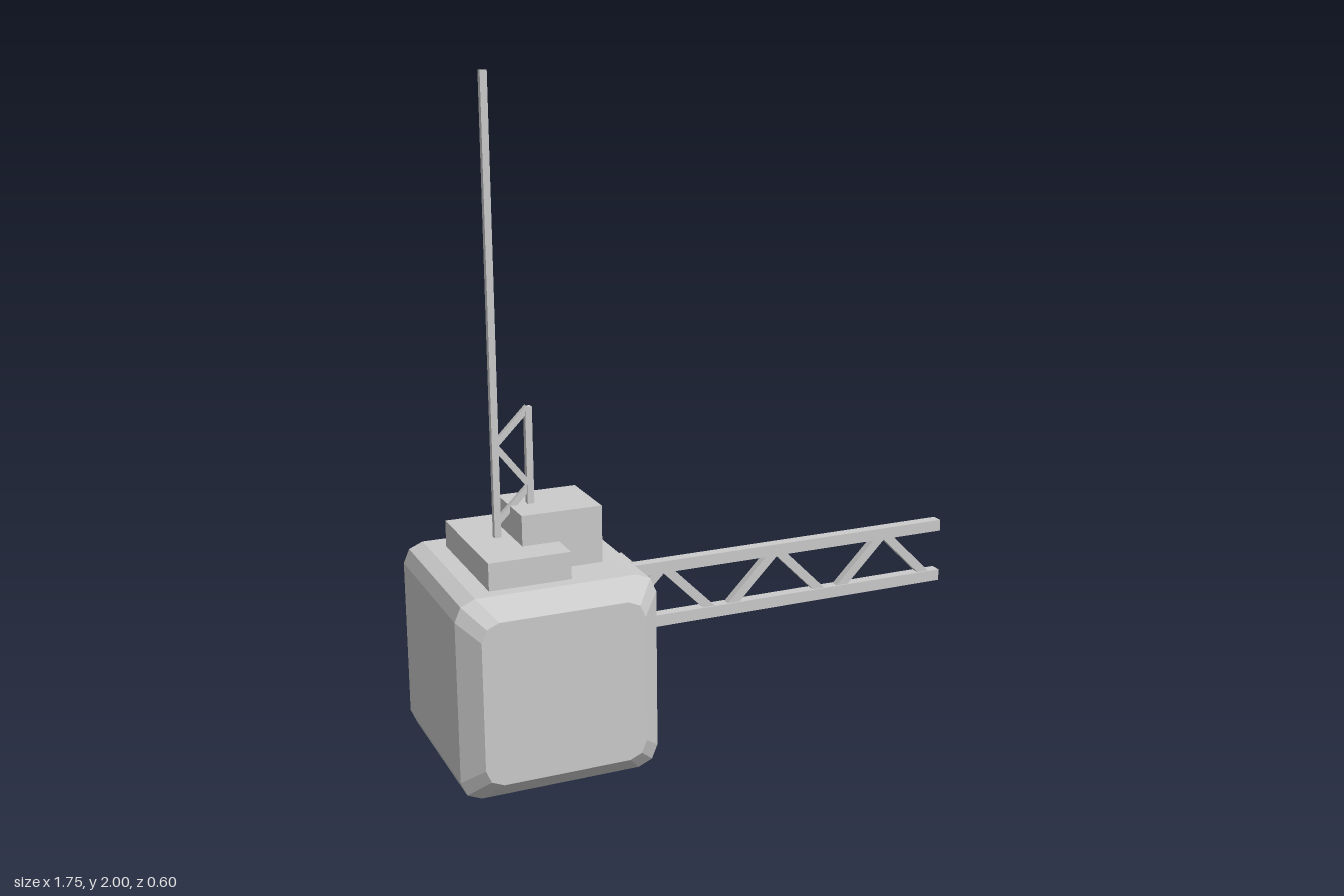
import * as THREE from 'three';

const material = new THREE.MeshStandardMaterial({ color: 0xcccccc, flatShading: true });

function addMesh(parent, name, geometry) {
  const mesh = new THREE.Mesh(geometry, material);
  mesh.name = name;
  parent.add(mesh);
  return mesh;
}

// Box given by its minimum and maximum corners
function addBox(parent, name, [x0, y0, z0], [x1, y1, z1]) {
  const mesh = addMesh(parent, name, new THREE.BoxGeometry(x1 - x0, y1 - y0, z1 - z0));
  mesh.position.set((x0 + x1) / 2, (y0 + y1) / 2, (z0 + z1) / 2);
}

// Square bar running between two points of a plane of constant z
function addBar(parent, name, [x0, y0], [x1, y1], z, width, depth) {
  const length = Math.hypot(x1 - x0, y1 - y0);
  const mesh = addMesh(parent, name, new THREE.BoxGeometry(length, width, depth));
  mesh.position.set((x0 + x1) / 2, (y0 + y1) / 2, z);
  mesh.rotation.z = Math.atan2(y1 - y0, x1 - x0);
}

// Square outline with two-facet corners, counter-clockwise
function squareLoop(half, corner, z) {
  const m = half - corner * 0.3;
  const e = half - corner;
  const points = [];
  for (let k = 0; k < 4; k++) {
    const c = Math.round(Math.cos(k * Math.PI / 2));
    const s = Math.round(Math.sin(k * Math.PI / 2));
    for (const [x, y] of [[half, e], [m, m], [e, half]]) {
      points.push([c * x - s * y, s * x + c * y, z]);
    }
  }
  return points;
}

// Closed skin through a series of loops from front to back
function skinGeometry(loops) {
  const positions = [];
  const tri = (...corners) => corners.forEach((p) => positions.push(...p));
  const n = loops[0].length;
  for (let l = 0; l < loops.length - 1; l++) {
    const a = loops[l];
    const b = loops[l + 1];
    for (let i = 0; i < n; i++) {
      const j = (i + 1) % n;
      tri(a[i], b[i], b[j]);
      tri(a[i], b[j], a[j]);
    }
  }
  const first = loops[0];
  const last = loops[loops.length - 1];
  for (let i = 1; i < n - 1; i++) {
    tri(first[0], first[i], first[i + 1]);
    tri(last[0], last[i + 1], last[i]);
  }
  const geometry = new THREE.BufferGeometry();
  geometry.setAttribute('position', new THREE.Float32BufferAttribute(positions, 3));
  geometry.computeVertexNormals();
  return geometry;
}

export function createModel() {
  const model = new THREE.Group();
  model.name = 'moduleWithMasts';

  // Cabin: bevelled front, straight sides, recessed back
  const cabin = addMesh(model, 'cabin', skinGeometry([
    squareLoop(0.241, 0.052, 0.298),
    squareLoop(0.298, 0.06, 0.24),
    squareLoop(0.298, 0.06, -0.298),
    squareLoop(0.25, 0.052, -0.298),
    squareLoop(0.25, 0.052, -0.218),
  ]));
  cabin.position.set(-0.577, 0.298, 0);

  // Stepped blocks on the roof
  addBox(model, 'lowRoofBlock', [-0.763, 0.594, -0.223], [-0.52, 0.677, 0.2]);
  addBox(model, 'highRoofBlock', [-0.63, 0.594, -0.125], [-0.388, 0.767, 0.099]);

  // Antenna: tall pole, short pole and zigzag bracing
  const antenna = new THREE.Group();
  antenna.name = 'antenna';
  model.add(antenna);
  const az = -0.0135;
  addBox(antenna, 'tallPole', [-0.679, 0.67, az - 0.01], [-0.659, 2, az + 0.01]);
  addBox(antenna, 'shortPole', [-0.577, 0.76, az - 0.01], [-0.557, 1.055, az + 0.01]);
  const zigzag = [[-0.669, 0.72], [-0.567, 0.82], [-0.669, 0.95], [-0.567, 1.053]];
  for (let i = 0; i < 3; i++) {
    addBar(antenna, 'antennaBrace', zigzag[i], zigzag[i + 1], az, 0.018, 0.015);
  }

  // Side truss: mounting plate, two rails and diagonal braces
  const truss = new THREE.Group();
  truss.name = 'sideTruss';
  model.add(truss);
  const tz = -0.095;
  addBox(truss, 'mountingPlate', [-0.285, 0.073, tz - 0.045], [-0.235, 0.527, tz + 0.045]);
  for (const y of [0.31, 0.483]) {
    addBox(truss, 'rail', [-0.24, y - 0.0185, tz - 0.0185], [0.874, y + 0.0185, tz + 0.0185]);
  }
  addBar(truss, 'trussBrace', [-0.25, 0.35], [-0.122, 0.478], tz, 0.029, 0.026);
  for (let i = 0; i < 3; i++) {
    const x = -0.116 + i * 0.391;
    addBar(truss, 'trussBrace', [x, 0.478], [x + 0.163, 0.315], tz, 0.029, 0.026);
    if (i < 2) addBar(truss, 'trussBrace', [x + 0.222, 0.315], [x + 0.385, 0.478], tz, 0.029, 0.026);
  }

  return model;
}
